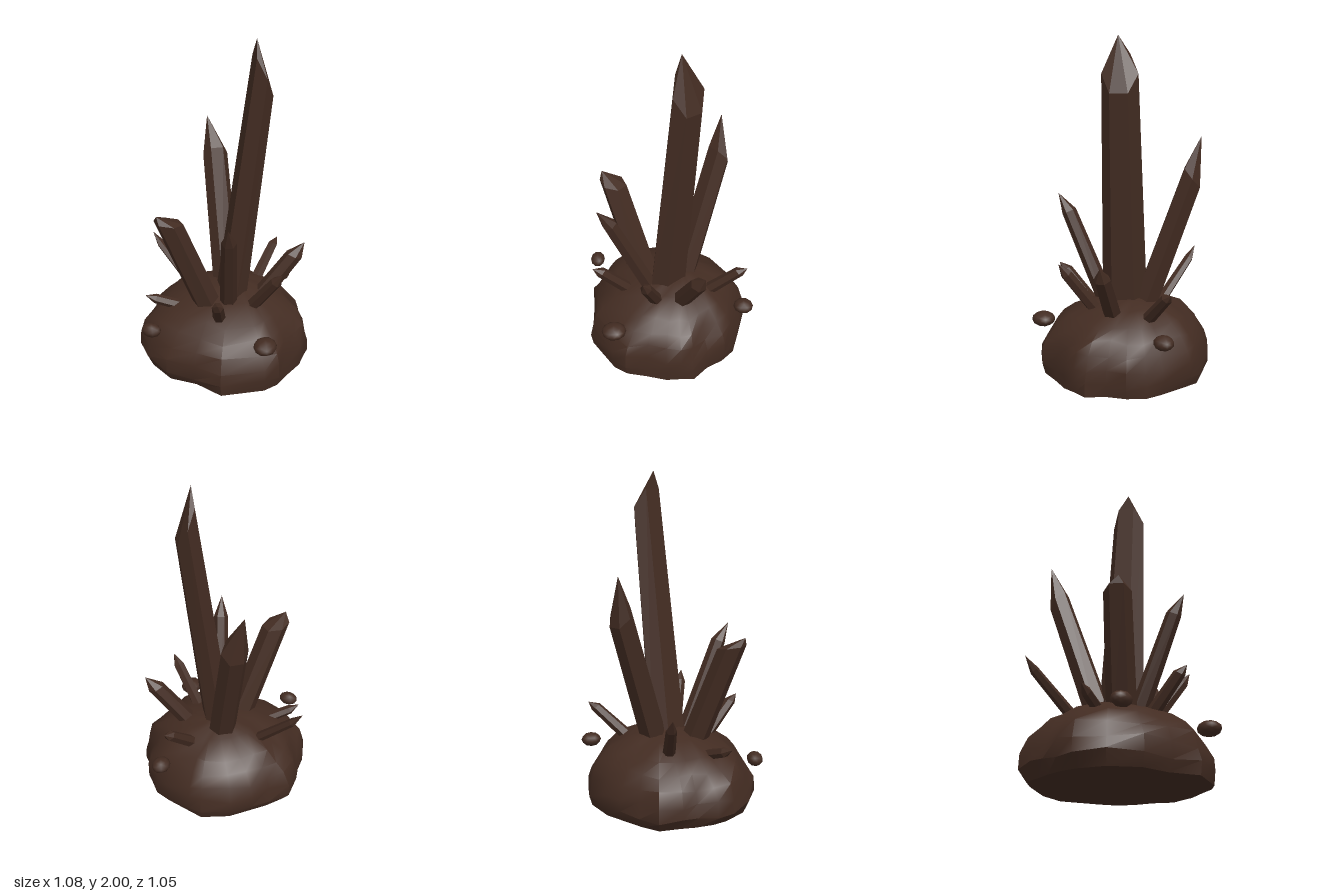
import * as THREE from 'three';
import { toCreasedNormals } from 'three/addons/utils/BufferGeometryUtils.js';

const V = (x, y, z) => new THREE.Vector3(x, y, z);

// Closed solid through rings of points, with a centre point at each end
function loft(rings, bottom, top) {
  const pos = [];
  const tri = (...pts) => pts.forEach((p) => pos.push(p.x, p.y, p.z));
  const n = rings[0].length;
  const last = rings[rings.length - 1];
  for (let i = 0; i < n; i++) {
    const j = (i + 1) % n;
    tri(bottom, rings[0][i], rings[0][j]);
    for (let k = 0; k < rings.length - 1; k++) {
      const a = rings[k], b = rings[k + 1];
      tri(a[i], b[i], a[j]);
      tri(b[i], b[j], a[j]);
    }
    tri(last[i], top, last[j]);
  }
  const g = new THREE.BufferGeometry();
  g.setAttribute('position', new THREE.Float32BufferAttribute(pos, 3));
  g.computeVertexNormals();
  return g;
}

// Six-sided tapering crystal; lift tilts the shoulder up towards the outside,
// wide stretches the section across the direction of lean
function crystal({ base, end, tip, r0, r1, wide = 1, lift = 0 }) {
  const b = V(...base), e = V(...end);
  const axis = e.clone().sub(b).normalize();
  const out = V(axis.x, 0, axis.z).normalize();
  const u = out.clone().addScaledVector(axis, -out.dot(axis)).normalize();
  const v = u.clone().cross(axis);
  b.addScaledVector(axis, -0.07); // root sunk into the rock
  const ring = (c, r, k) => Array.from({ length: 6 }, (_, i) => {
    const a = Math.PI / 6 + (i * Math.PI) / 3;
    const along = Math.cos(a) * r;
    return c.clone().addScaledVector(u, along)
      .addScaledVector(v, Math.sin(a) * r * wide)
      .addScaledVector(axis, k * along);
  });
  return loft([ring(b, r0, 0), ring(e, r1, lift)], b, V(...tip));
}

// Lumpy rock with a flat underside
function rock() {
  const outline = [
    [0.53, 0.03], [0.49, 0.15], [0.48, 0.28], [0.42, 0.36], [0.2, 0.51], [0.02, 0.495],
    [-0.16, 0.51], [-0.33, 0.43], [-0.45, 0.31], [-0.48, 0.21], [-0.49, 0.09], [-0.51, 0],
    [-0.51, -0.14], [-0.42, -0.24], [-0.34, -0.34], [-0.23, -0.43], [-0.06, -0.5], [0.02, -0.5],
    [0.2, -0.45], [0.3, -0.41], [0.39, -0.34], [0.44, -0.23], [0.52, -0.14], [0.535, -0.06],
  ];
  // scale, height
  const levels = [[0.95, 0], [1, 0.07], [0.985, 0.15], [0.93, 0.23], [0.83, 0.3], [0.69, 0.36], [0.42, 0.425], [0.2, 0.452]];
  const rings = levels.map(([s, y], k) => outline.map(([x, z], i) => {
    const lean = k === 0 ? 0.08 * x : 0; // foot drawn in on the right-hand side
    const w = s * (1 + lean + (k === 1 ? 0 : 0.02 * Math.sin(i * 2.1 + k * 1.3)));
    const bump = k === 0 ? 0 : 0.012 * Math.sin(i * 1.7 + k * 2.3) * s;
    return V(x * w + 0.04 * (1 - s), y + bump, z * w - 0.05 * (1 - s));
  }));
  return toCreasedNormals(loft(rings, V(0, 0, 0), V(0.05, 0.465, -0.08)), 0.6);
}

export function createModel() {
  const group = new THREE.Group();
  const brown = new THREE.MeshStandardMaterial({ color: 0x432c22 });
  brown.name = 'dark brown stone';
  const add = (name, geometry) => {
    const mesh = new THREE.Mesh(geometry, brown);
    mesh.name = name;
    group.add(mesh);
    return mesh;
  };

  add('rockBase', rock());

  // Crystals, from the tallest to the smallest
  const crystals = {
    tallCrystal: { base: [0.05, 0.42, 0], end: [0.19, 1.79, -0.1], tip: [0.165, 2, -0.063], r0: 0.095, r1: 0.072, wide: 1.45, lift: -1.6 },
    backLeftCrystal: { base: [-0.03, 0.42, -0.1], end: [-0.2, 1.19, -0.31], tip: [-0.262, 1.43, -0.325], r0: 0.078, r1: 0.07, wide: 1.12, lift: -0.6 },
    frontLeftCrystal: { base: [-0.055, 0.41, 0.16], end: [-0.2, 0.995, 0.34], tip: [-0.24, 1.055, 0.41], r0: 0.082, r1: 0.076, wide: 1.05, lift: 0.6 },
    frontCrystal: { base: [0.085, 0.41, 0.13], end: [0.182, 0.95, 0.35], tip: [0.207, 1.06, 0.42], r0: 0.055, r1: 0.045 },
    backRightCrystal: { base: [0.225, 0.39, -0.07], end: [0.4, 0.665, -0.165], tip: [0.452, 0.745, -0.2], r0: 0.057, r1: 0.05, lift: 0.3 },
    rightCrystal: { base: [0.22, 0.39, 0.08], end: [0.395, 0.635, 0.143], tip: [0.44, 0.7, 0.16], r0: 0.042, r1: 0.035 },
    smallFrontCrystal: { base: [0.085, 0.38, 0.27], end: [0.145, 0.56, 0.425], tip: [0.165, 0.6, 0.47], r0: 0.04, r1: 0.034, lift: 0.2 },
    smallBackCrystal: { base: [0.125, 0.41, -0.28], end: [0.163, 0.56, -0.435], tip: [0.175, 0.59, -0.48], r0: 0.04, r1: 0.032, lift: 0.2 },
    leftCrystal: { base: [-0.25, 0.375, -0.04], end: [-0.48, 0.6, -0.065], tip: [-0.54, 0.675, -0.067], r0: 0.032, r1: 0.025, wide: 1.25 },
    tinyLeftCrystal: { base: [-0.25, 0.36, 0.21], end: [-0.35, 0.405, 0.27], tip: [-0.4, 0.435, 0.305], r0: 0.034, r1: 0.03 },
  };
  for (const [name, spec] of Object.entries(crystals)) add(name, crystal(spec));

  // Pebbles stuck to the rim
  const pebbles = [
    ['frontLeftPebble', [-0.27, 0.323, 0.476], [0.062, 0.042, 0.047]],
    ['frontRightPebble', [0.41, 0.315, 0.343], [0.068, 0.045, 0.075]],
    ['backPebble', [0.22, 0.325, -0.465], [0.056, 0.043, 0.062]],
  ];
  for (const [name, at, size] of pebbles) {
    const mesh = add(name, new THREE.IcosahedronGeometry(1, 1));
    mesh.position.set(...at);
    mesh.scale.set(...size);
  }
  return group;
}
